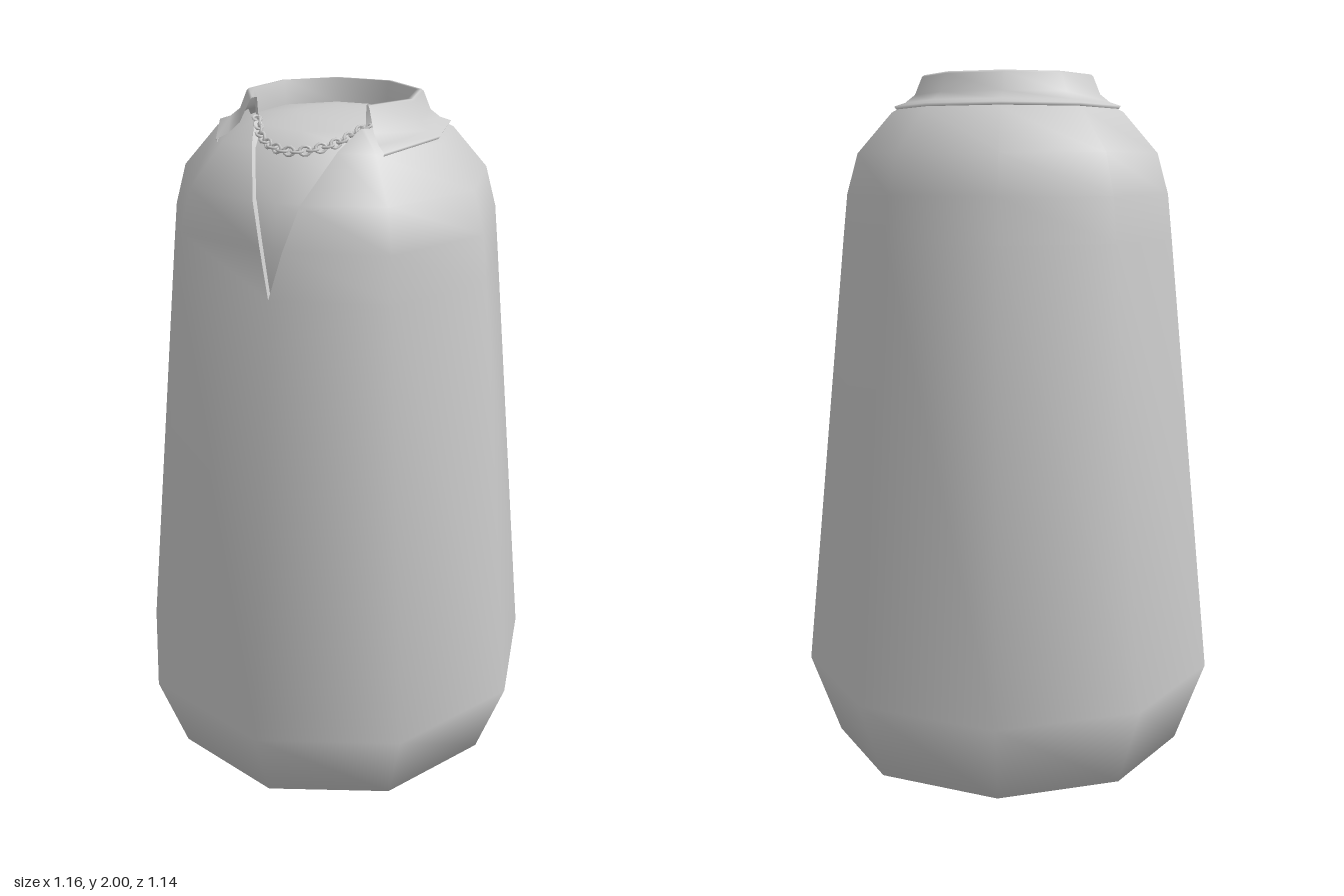
import * as THREE from 'three';
import { mergeVertices } from 'three/addons/utils/BufferGeometryUtils.js';

const CENTRE_Z = -0.02;
const material = new THREE.MeshStandardMaterial({ color: 0xcccccc, side: THREE.DoubleSide });

// Point at an angle (degrees) from the front, turning towards +x
function polar(angle, radius, y) {
  const a = THREE.MathUtils.degToRad(angle);
  return [radius * Math.sin(a), y, CENTRE_Z + radius * Math.cos(a)];
}

// Smooth surface joining rows of points
function loft(name, rows) {
  const n = rows[0].length, index = [];
  for (let i = 0; i < rows.length - 1; i++) {
    for (let j = 0; j < n - 1; j++) {
      const a = i * n + j, c = a + n;
      index.push(a, a + 1, c, a + 1, c + 1, c);
    }
  }
  let geometry = new THREE.BufferGeometry();
  geometry.setAttribute('position', new THREE.Float32BufferAttribute(rows.flat(2), 3));
  geometry.setIndex(index);
  geometry = mergeVertices(geometry, 1e-4);
  geometry.computeVertexNormals();
  const mesh = new THREE.Mesh(geometry, material);
  mesh.name = name;
  return mesh;
}

// Nine-sided ring whose front corner can split into a slit of half width w
function ring(y, radius, frontZ = CENTRE_Z + radius, w = 0) {
  const row = [[w, y, frontZ]];
  for (let k = 1; k < 9; k++) row.push(polar(k * 40, radius, y));
  row.push([-w, y, frontZ]);
  return row;
}

export function createModel() {
  const model = new THREE.Group();

  // Robe with a V-shaped neckline: y, radius, front z, slit half width
  const robe = [
    [0, 0], [0, 0.255], [0.1, 0.505], [0.33, 0.588],
    [1.56, 0.462, 0.42, 0], [1.68, 0.449, 0.398, 0.03],
    [1.79, 0.418, 0.362, 0.063], [1.9, 0.322, 0.25, 0.115],
    [1.945, 0.235, 0.168, 0.145],
  ];
  model.add(loft('robe', robe.map((r) => ring(...r))));

  // Thin turned-in edge on both sides of the neckline
  for (const side of [-1, 1]) {
    const edge = robe.slice(4).map(([y, , z, w]) => [
      [side * w, y, z], [side * w * 0.93, y - 0.005, z - 0.025],
    ]);
    model.add(loft(side > 0 ? 'leftNecklineEdge' : 'rightNecklineEdge', edge));
  }

  // Inner body seen in the neckline and inside the collar
  const inner = [
    [1.5, 0.44, 0.395], [1.56, 0.44, 0.402], [1.68, 0.43, 0.388],
    [1.79, 0.4, 0.362], [1.895, 0.305, 0.27], [1.935, 0.22, 0.2],
    [1.95, 0.1], [1.953, 0],
  ];
  model.add(loft('innerBody', inner.map((r) => ring(...r))));

  // Folded collar, open at the front: radius, y, extra flare at the ends
  const collarProfile = [
    [0.31, 1.908, 0.02], [0.315, 1.916, 0.02], [0.285, 1.926, 0.015],
    [0.258, 1.947, 0.01], [0.238, 1.995, 0], [0.232, 2, 0],
    [0.219, 2, 0], [0.215, 1.935, 0],
  ];
  const angles = [43, 80, 120, 160, 200, 240, 280, 317];
  model.add(loft('collar', collarProfile.map(([r, y, flare]) =>
    angles.map((a, i) => {
      const end = i === 0 || i === angles.length - 1;
      return polar(a, r + (end ? flare : 0), y - (end ? flare * 0.7 : 0));
    }))));

  // Chain of small links hanging across the neckline
  const chain = new THREE.Group();
  chain.name = 'chain';
  const path = new THREE.CatmullRomCurve3([
    [-0.15, 1.946, 0.14], [-0.1, 1.916, 0.22], [-0.04, 1.903, 0.268], [0, 1.901, 0.28],
    [0.04, 1.903, 0.268], [0.1, 1.916, 0.22], [0.15, 1.946, 0.14],
  ].map((p) => new THREE.Vector3(...p)));
  const linkGeometry = new THREE.TorusGeometry(0.011, 0.0035, 6, 10);
  linkGeometry.scale(1.25, 1, 1);
  const links = 23;
  for (let i = 0; i < links; i++) {
    const t = i / (links - 1);
    const link = new THREE.Mesh(linkGeometry, material);
    link.name = 'chainLink';
    link.position.copy(path.getPointAt(t));
    link.quaternion.setFromUnitVectors(new THREE.Vector3(1, 0, 0), path.getTangentAt(t));
    link.rotateX(-0.9 + (i % 2 ? 0.6 : -0.6));
    chain.add(link);
  }
  model.add(chain);

  return model;
}
